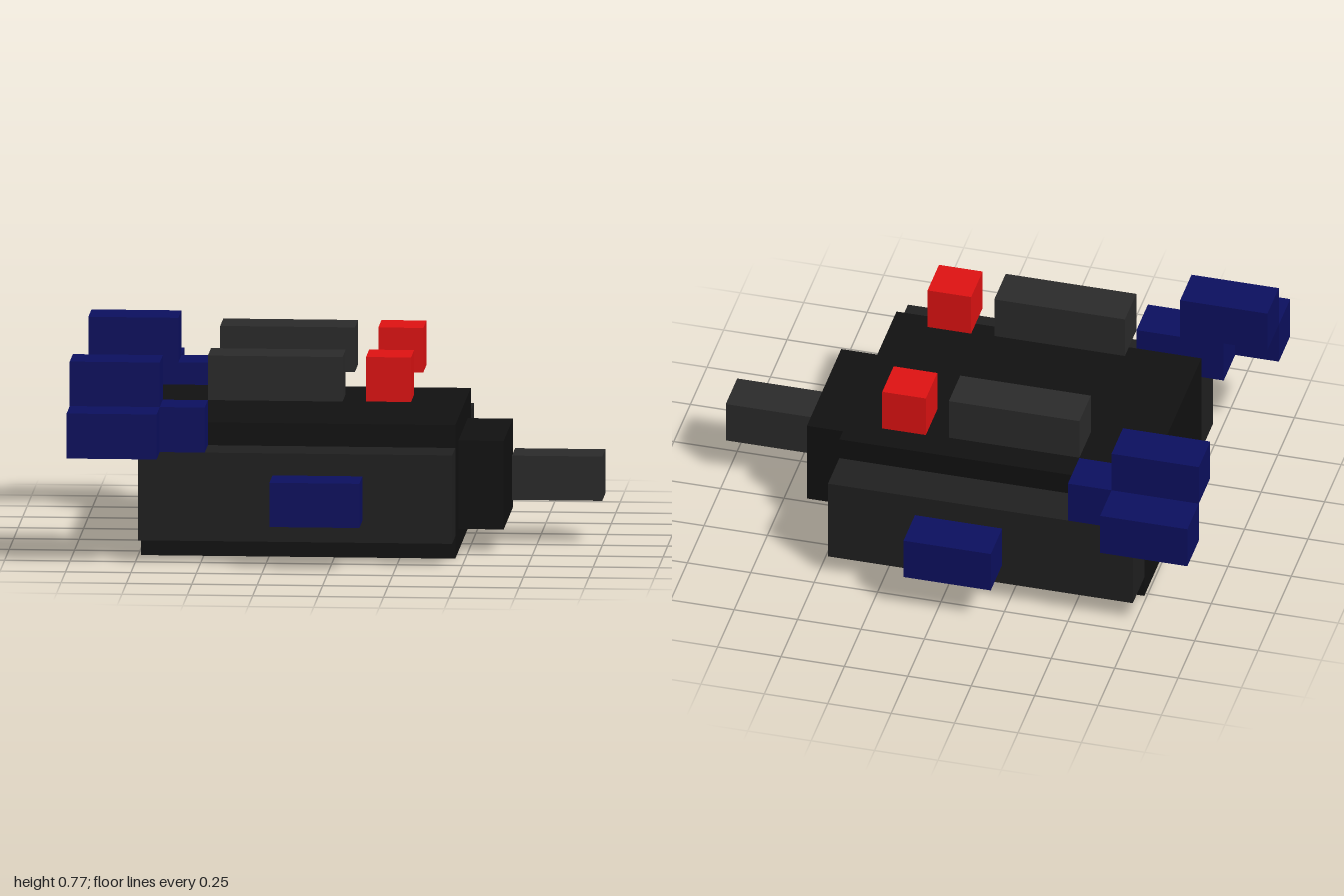
import * as THREE from 'three';

const material = (color) => new THREE.MeshStandardMaterial({ color, flatShading: true });

export function createModel() {
  const model = new THREE.Group();
  const MID = -0.086; // z of the mirror plane
  const black = material(0x111111);
  const charcoal = material(0x202020);
  const grey = material(0x2b2b2b);
  const navy = material(0x0c1060);
  const red = material(0xe01212);

  // Block from its x, y and z ranges
  function block(name, mat, [x0, x1], [y0, y1], [z0, z1]) {
    const mesh = new THREE.Mesh(new THREE.BoxGeometry(x1 - x0, y1 - y0, z1 - z0), mat);
    mesh.position.set((x0 + x1) / 2, (y0 + y1) / 2, (z0 + z1) / 2);
    mesh.name = name;
    model.add(mesh);
  }

  // Same block on both sides of the mirror plane
  function pair(name, mat, xs, ys, [z0, z1]) {
    block(name + 'Left', mat, xs, ys, [z0, z1]);
    block(name + 'Right', mat, xs, ys, [2 * MID - z1, 2 * MID - z0]);
  }

  // Hull, stepped end and the separate block beyond it
  block('hull', black, [-0.74, 0.462], [0.178, 0.694], [-0.516, 0.344]);
  block('nose', black, [0.462, 0.635], [0.264, 0.606], [-0.344, 0.172]);
  block('noseProbe', grey, [0.655, 1], [0.35, 0.521], [-0.172, 0]);

  // Flanks with their small pods
  pair('sidePanel', charcoal, [-0.74, 0.462], [0.264, 0.606], [0.344, 0.516]);
  pair('sidePod', navy, [-0.225, 0.119], [0.35, 0.521], [0.516, 0.688]);

  // Blocks hovering over the deck
  pair('topRail', grey, [-0.484, 0.031], [0.78, 0.952], [0.17, 0.342]);
  block('beaconLeft', red, [0.12, 0.292], [0.78, 0.952], [0.162, 0.334]);
  block('beaconRight', red, [0.12, 0.292], [0.78, 0.952], [-0.52, -0.348]);

  // Tail clusters: inner root, outer fin and upper fin
  pair('tailRoot', navy, [-0.828, -0.484], [0.606, 0.78], [0.344, 0.516]);
  pair('tailOuterFin', navy, [-1, -0.656], [0.606, 0.78], [0.516, 0.688]);
  pair('tailUpperFin', navy, [-1, -0.656], [0.78, 0.952], [0.344, 0.516]);

  return model;
}
